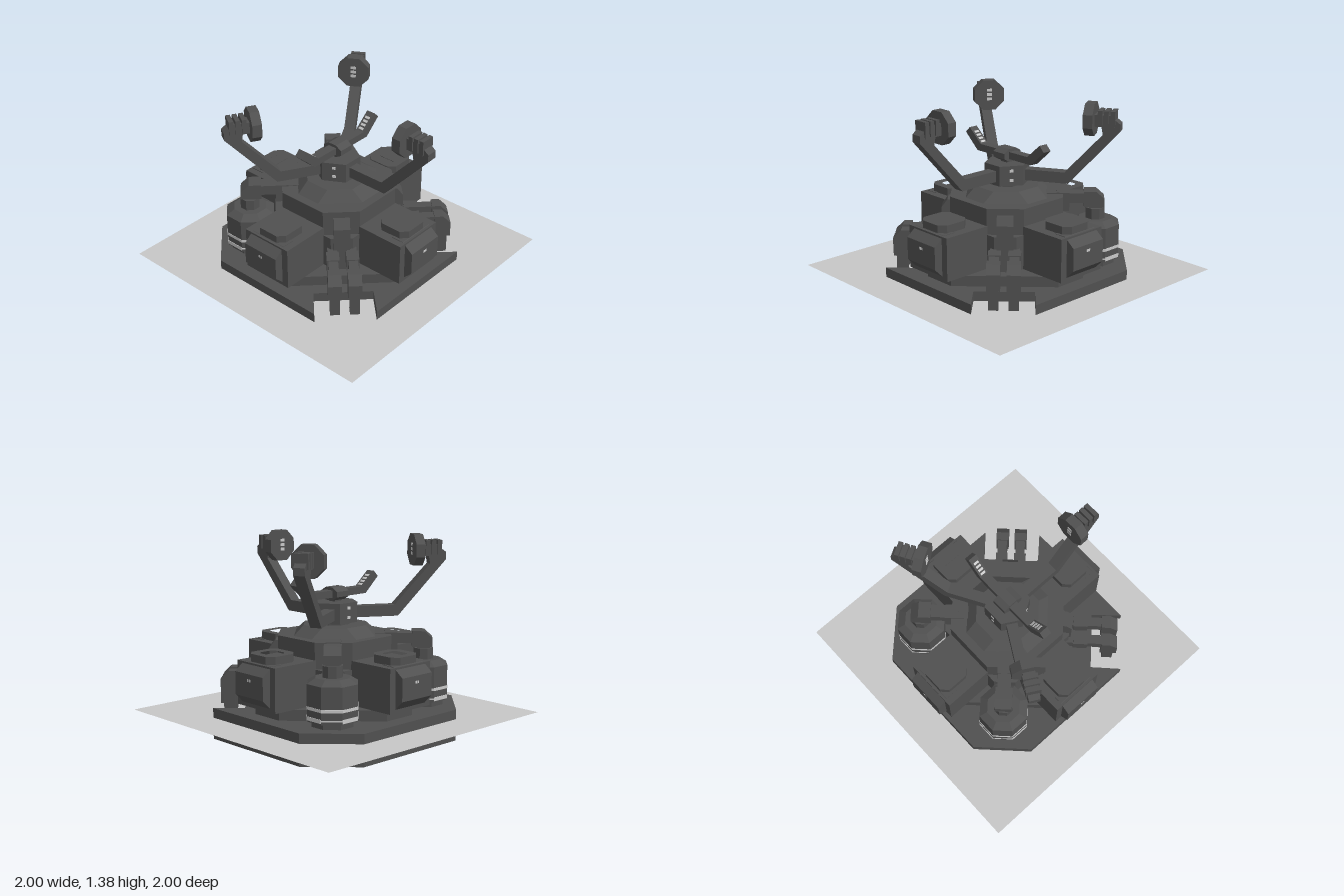
import * as THREE from 'three';
import { ConvexGeometry } from 'three/addons/geometries/ConvexGeometry.js';

const metal = new THREE.MeshStandardMaterial({ color: 0x505050 });
metal.name = 'dark metal';
const openMetal = new THREE.MeshStandardMaterial({ color: 0x505050, side: THREE.DoubleSide });
openMetal.name = 'dark metal, open skirt';
const ground = new THREE.MeshStandardMaterial({ color: 0xc6c6c6, side: THREE.DoubleSide });
ground.name = 'light ground';
const lamp = new THREE.MeshStandardMaterial({ color: 0xc8c8c8 });
lamp.name = 'pale lamp';

const D = Math.PI / 180;

function add(parent, name, geo, mat = metal, x = 0, y = 0, z = 0) {
  const m = new THREE.Mesh(geo, mat);
  m.name = name;
  m.position.set(x, y, z);
  parent.add(m);
  return m;
}
const box = (w, h, d) => new THREE.BoxGeometry(w, h, d);
const shapeOf = pts => new THREE.Shape(pts.map(([x, y]) => new THREE.Vector2(x, y)));

// side profile in (radius, height), extruded to a centred width
function profile(pts, width) {
  return new THREE.ExtrudeGeometry(shapeOf(pts), { depth: width, bevelEnabled: false })
    .translate(0, 0, -width / 2);
}
// plan outline in (x, z), standing from y0 to y1
function prism(pts, y0, y1, hole) {
  const s = shapeOf(pts.map(([x, z]) => [x, -z]));
  if (hole) s.holes.push(shapeOf(hole.map(([x, z]) => [x, -z])));
  return new THREE.ExtrudeGeometry(s, { depth: y1 - y0, bevelEnabled: false })
    .rotateX(-Math.PI / 2).translate(0, y0, 0);
}
// eight-sided outline: half size a, half flat b
const octagon = (a, b) => [[a, -b], [a, b], [b, a], [-b, a], [-a, b], [-a, -b], [-b, -a], [b, -a]];

// flat-faced eight-sided drum with its flats on the axes; sizes are across-flat halves
function drum(top, bottom, h) {
  const k = 1 / Math.cos(Math.PI / 8);
  const g = new THREE.CylinderGeometry(top * k, bottom * k, h, 8).rotateY(Math.PI / 8).toNonIndexed();
  g.computeVertexNormals();
  return g;
}
// group whose +x points outward at the given angle
function spoke(parent, name, deg, x = 0) {
  const g = new THREE.Group();
  g.name = name;
  g.rotation.y = deg * D;
  g.position.x = x;
  parent.add(g);
  return g;
}

function buildFooting(root) {
  // outline with notched front corners
  const outline = [[-0.44, -0.73], [0.44, -0.73], [0.73, -0.44], [0.73, 0.44], [0.575, 0.29], [0.29, 0.575],
    [0.44, 0.73], [-0.44, 0.73], [-0.29, 0.575], [-0.575, 0.29], [-0.73, 0.44], [-0.73, -0.44]];
  add(root, 'footing', prism(outline, 0.151, 0.217));
  // open skirt below the ground sheet
  outline.forEach(([x, z], i) => {
    const [u, v] = outline[(i + 1) % outline.length];
    const wall = add(root, 'skirtWall', new THREE.PlaneGeometry(Math.hypot(u - x, v - z), 0.151),
      openMetal, (x + u) / 2, 0.0755, (z + v) / 2);
    wall.rotation.y = Math.atan2(v - z, x - u);
  });
  add(root, 'groundSheet', new THREE.PlaneGeometry(2, 2).rotateX(-Math.PI / 2), ground, 0, 0.15);
}

function buildPod(parent, deg) {
  const g = spoke(parent, 'pod', deg);
  add(g, 'podBody', profile([[0.3, 0.29], [0.71, 0.29], [0.71, 0.59], [0.3, 0.59]], 0.38));
  add(g, 'podDoor', profile([[0.6, 0.315], [0.71, 0.315], [0.77, 0.375], [0.77, 0.53], [0.69, 0.593], [0.6, 0.593]], 0.28));
  add(g, 'podHatch', prism(octagon(0.12, 0.075), 0.59, 0.645, octagon(0.065, 0.045)), metal, 0.57);
  for (const s of [-1, 1]) add(g, 'doorLamp', box(0.004, 0.018, 0.015), lamp, 0.769, 0.487, s * 0.009);
}

function buildPipes(parent, deg) {
  const g = spoke(parent, 'frontPipes', deg);
  add(g, 'pipeBracket', profile([[0.35, 0.29], [0.45, 0.29], [0.45, 0.61], [0.41, 0.665], [0.35, 0.665]], 0.11));
  for (const s of [-1, 1]) {
    const z = s * 0.066;
    add(g, 'pipe', profile([[0.36, 0.375], [0.65, 0.375], [0.69, 0.34], [0.69, 0], [0.765, 0],
      [0.765, 0.39], [0.715, 0.445], [0.36, 0.445]], 0.065), metal, 0, 0, z);
    add(g, 'pipeCollar', profile([[0.67, 0.29], [0.785, 0.29], [0.785, 0.4], [0.73, 0.455], [0.67, 0.455]], 0.09), metal, 0, 0, z);
    add(g, 'pipeSleeve', box(0.1, 0.085, 0.085), metal, 0.52, 0.41, z);
  }
}

function buildTank(parent, deg) {
  const g = spoke(parent, 'tank', deg);
  const r = 0.61;
  add(g, 'tankFoot', drum(0.135, 0.135, 0.05), metal, r, 0.235);
  add(g, 'tankBody', drum(0.163, 0.163, 0.245), metal, r, 0.3775);
  add(g, 'tankShoulder', drum(0.11, 0.163, 0.035), metal, r, 0.517);
  add(g, 'tankNeck', drum(0.065, 0.065, 0.08), metal, r, 0.57);
  add(g, 'tankStripe', drum(0.166, 0.166, 0.02), lamp, r, 0.345);
  add(g, 'tankStripe', drum(0.166, 0.166, 0.01), lamp, r, 0.28);
  for (let i = 0; i < 4; i++) {
    const face = spoke(g, 'tankLabel', 45 + 90 * i, r);
    add(face, 'tankPlate', box(0.006, 0.026, 0.134), lamp, 0.1635, 0.277);
  }
  // elbow feed into the core
  add(g, 'feedPipe', profile([[0.2, 0.645], [0.55, 0.645], [0.565, 0.63], [0.565, 0.58], [0.655, 0.58],
    [0.655, 0.67], [0.6, 0.715], [0.2, 0.715]], 0.09));
  add(g, 'feedElbow', profile([[0.53, 0.62], [0.67, 0.62], [0.67, 0.68], [0.615, 0.73], [0.53, 0.73]], 0.115));
  add(g, 'feedJunction', box(0.09, 0.13, 0.1), metal, 0.385, 0.655);
}

function buildArm(parent, deg) {
  const g = spoke(parent, 'dishArm', deg);
  add(g, 'armBeam', profile([[0.08, 0.815], [0.44, 0.815], [0.74, 1.15], [0.785, 1.2], [0.785, 1.25], [0.745, 1.28],
    [0.69, 1.28], [0.655, 1.25], [0.67, 1.17], [0.415, 0.892], [0.08, 0.892]], 0.076));
  add(g, 'dishShaft', box(0.15, 0.08, 0.08), metal, 0.67, 1.265);
  for (let i = 0; i < 3; i++) add(g, 'coolingFin', box(0.03, 0.1, 0.1), metal, 0.65 + i * 0.043, 1.285);
  add(g, 'dish', drum(0.108, 0.108, 0.065).rotateZ(Math.PI / 2), metal, 0.58, 1.27);
  for (let i = -1; i <= 1; i++) add(g, 'dishLamp', box(0.004, 0.02, 0.036), lamp, 0.5475, 1.275 + i * 0.032);
}

function buildAntenna(parent) {
  const g = spoke(parent, 'topAntenna', 0);
  add(g, 'antennaPost', box(0.06, 0.06, 0.06), metal, 0, 0.945);
  add(g, 'antennaHub', drum(0.045, 0.045, 0.11).rotateZ(Math.PI / 2).scale(1, 1, 1.7), metal, 0, 0.985);
  add(g, 'antennaBar', profile([[-0.265, 0.96], [0.265, 0.96], [0.385, 1.07], [0.345, 1.11], [0.23, 1.01],
    [-0.23, 1.01], [-0.345, 1.11], [-0.385, 1.07]], 0.065));
  for (const s of [-1, 1]) for (let i = 0; i < 4; i++) {
    const t = 0.12 + i * 0.19;
    add(g, 'antennaLamp', box(0.017, 0.004, 0.038), lamp, s * (0.23 + 0.115 * t), 1.0105 + 0.1 * t)
      .rotation.z = s * Math.atan2(0.1, 0.115);
  }
}

export function createModel() {
  const root = new THREE.Group();
  root.name = 'defenceStation';

  buildFooting(root);
  add(root, 'plinth', prism(octagon(0.62, 0.12), 0.21, 0.29));

  // central core: lower tier, drum and sloping roof
  add(root, 'coreTier', prism(octagon(0.36, 0.255), 0.29, 0.53));
  add(root, 'core', prism(octagon(0.36, 0.185), 0.29, 0.71));
  const ring = (a, b, y) => octagon(a, b).map(([x, z]) => new THREE.Vector3(x, y, z));
  add(root, 'coreRoof', new ConvexGeometry([...ring(0.3, 0.09, 0.71), ...ring(0.21, 0.09, 0.775)]));

  for (const a of [0, 90, 180, 270]) buildPod(root, a);
  for (const a of [-45, -135]) buildPipes(root, a);
  for (const a of [45, 135]) buildTank(root, a);

  // six-sided turret
  add(root, 'turretNeck', drum(0.1, 0.1, 0.04), metal, 0, 0.785);
  const hex = [];
  for (const a of [90, 210, 330]) for (const s of [1, -1]) {
    const c = Math.cos(a * D), n = Math.sin(a * D);
    hex.push([0.138 * c + s * 0.075 * n, 0.138 * n - s * 0.075 * c]);
  }
  add(root, 'turret', prism(hex, 0.79, 0.93));
  for (const a of [90, -30, -150]) {
    const g = spoke(root, 'turretLamps', a);
    for (const y of [0.83, 0.895]) add(g, 'turretLamp', box(0.006, 0.02, 0.026), lamp, 0.134, y);
  }
  for (const a of [-90, 30, 150]) buildArm(root, a);
  buildAntenna(root);
  return root;
}
